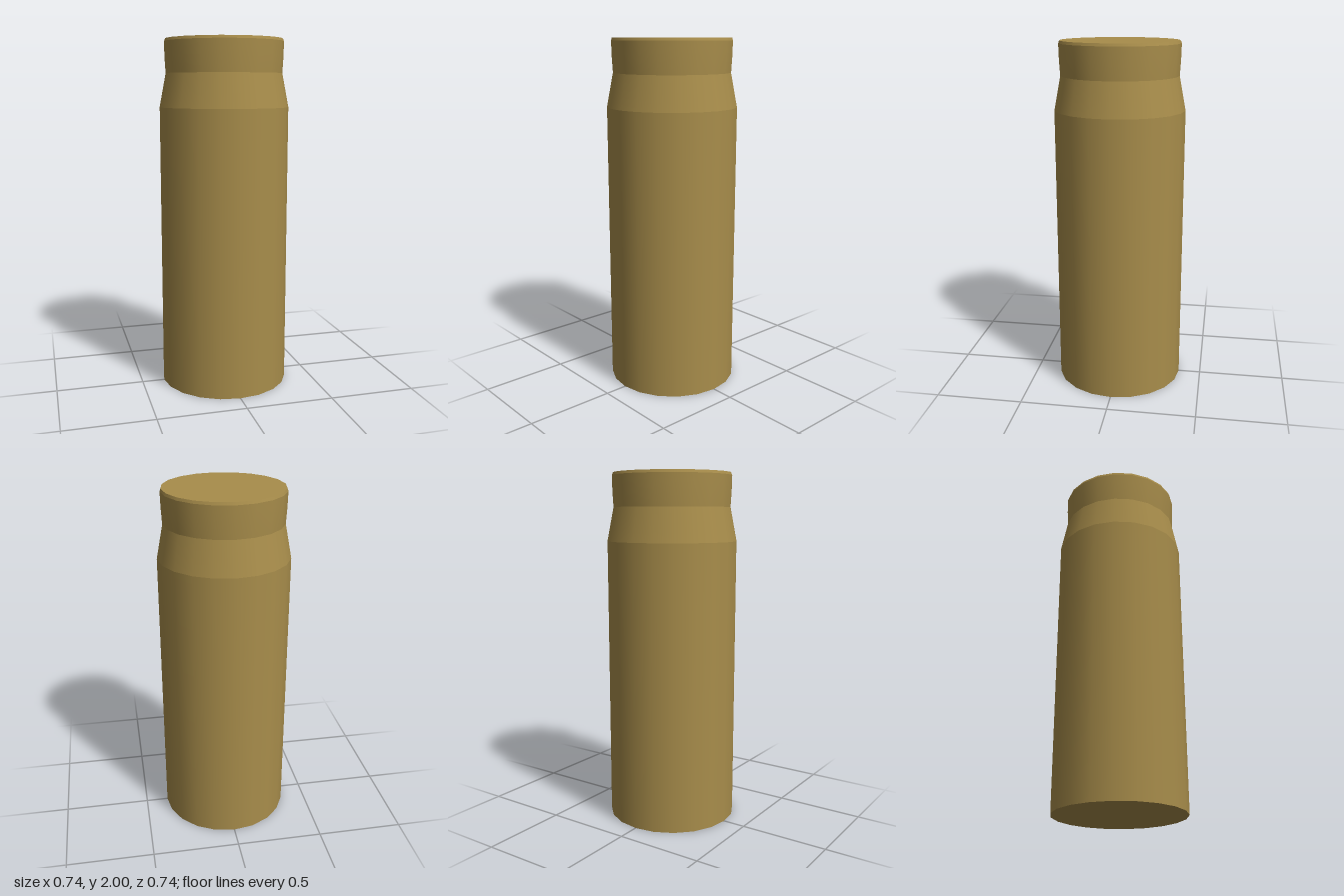
import * as THREE from 'three';

const SIDES = 20;

export function createModel() {
  const group = new THREE.Group();
  const brass = new THREE.MeshStandardMaterial({ color: 0xa88d4b });

  const add = (name, geometry) => {
    const mesh = new THREE.Mesh(geometry, brass);
    mesh.name = name;
    group.add(mesh);
    return mesh;
  };
  // Smooth surface of revolution from [radius, height] pairs, bottom to top
  const turned = (name, profile) =>
    add(name, new THREE.LatheGeometry(profile.map(([r, y]) => new THREE.Vector2(r, y)), SIDES));

  // Straight wall, tapered shoulder and slightly flared neck
  turned('body', [[0.37, 0], [0.37, 1.62]]);
  turned('shoulder', [[0.37, 1.62], [0.333, 1.81]]);
  turned('neck', [[0.333, 1.81], [0.338, 1.9], [0.34, 1.985]]);
  turned('rim', [[0.34, 1.985], [0.335, 2]]);

  // Flat end discs
  const top = add('topCap', new THREE.CircleGeometry(0.335, SIDES));
  top.rotation.x = -Math.PI / 2;
  top.position.y = 2;
  const base = add('baseCap', new THREE.CircleGeometry(0.37, SIDES));
  base.rotation.x = Math.PI / 2;

  return group;
}
